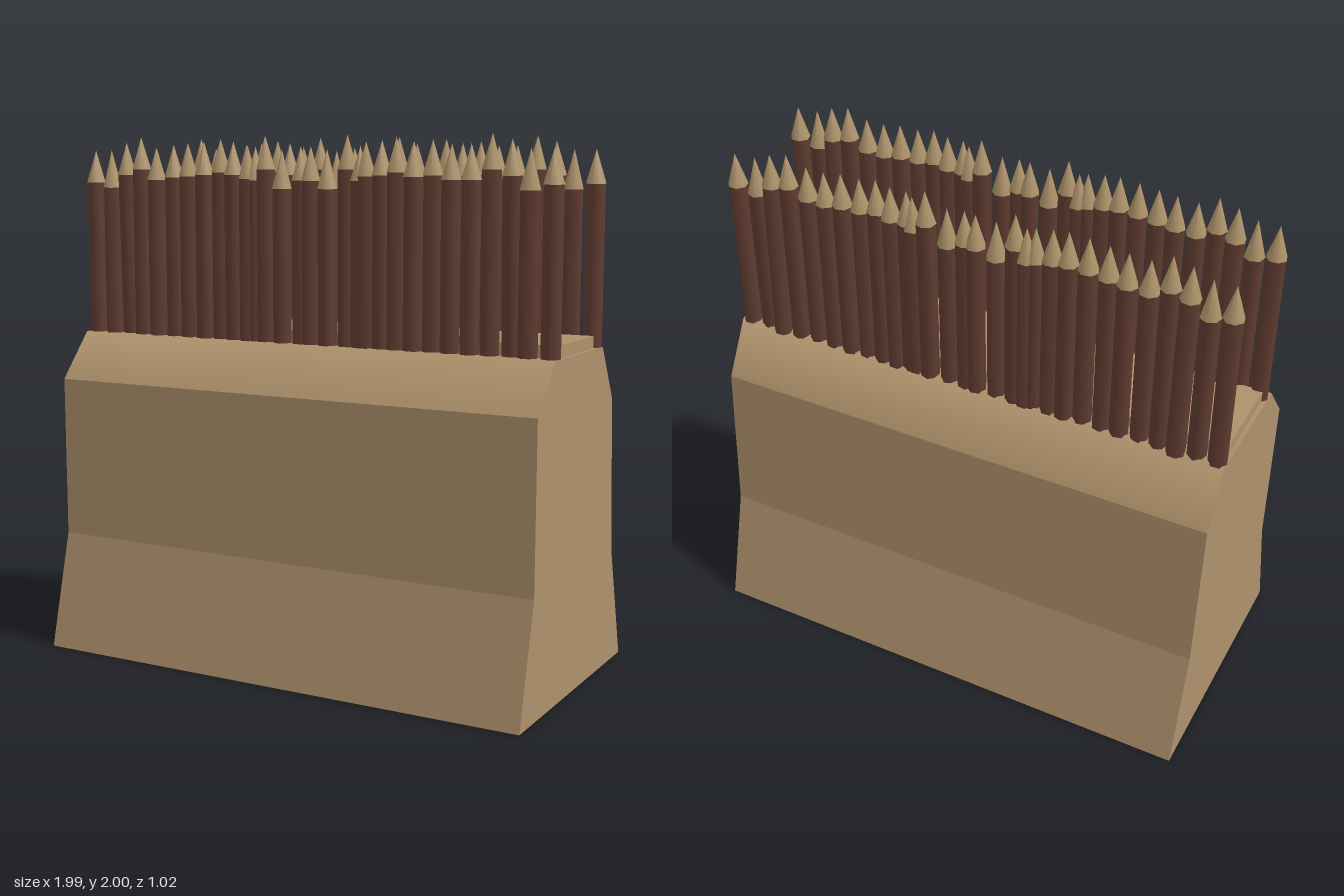
import * as THREE from 'three';

const earth = new THREE.MeshStandardMaterial({ color: 0xae916b, side: THREE.DoubleSide });
earth.name = 'earth';
const bark = new THREE.MeshStandardMaterial({ color: 0x603c31 });
bark.name = 'bark';
const cutWood = new THREE.MeshStandardMaterial({ color: 0xae936a });
cutWood.name = 'cut wood';

const HALF = 0.995;

// Rampart cross-section as [z, y], from the front foot over the crest to the back foot
const profile = [
  [0.51, 0], [0.4, 0.44], [0.4, 1.06], [0.25, 1.235],
  [-0.23, 1.235], [-0.35, 1.03], [-0.39, 0.44], [-0.51, 0],
];

function addMesh(parent, name, geometry, material) {
  const mesh = new THREE.Mesh(geometry, material);
  mesh.name = name;
  parent.add(mesh);
  return mesh;
}

// Sweeps part of the cross-section along x; normals are shared inside one strip
function strip(points) {
  const positions = [], index = [];
  points.forEach(([z, y], i) => {
    positions.push(-HALF, y, z, HALF, y, z);
    if (i) {
      const a = 2 * (i - 1);
      index.push(a, a + 1, a + 3, a, a + 3, a + 2);
    }
  });
  const geometry = new THREE.BufferGeometry();
  geometry.setAttribute('position', new THREE.Float32BufferAttribute(positions, 3));
  geometry.setIndex(index);
  geometry.computeVertexNormals();
  return geometry;
}

function createRampart() {
  const rampart = new THREE.Group();
  rampart.name = 'rampart';
  // Flat walls, and the softly rounded crest between them
  for (const [name, i] of [['frontFoot', 0], ['frontWall', 1], ['backWall', 5], ['backFoot', 6]]) {
    addMesh(rampart, name, strip(profile.slice(i, i + 2)), earth);
  }
  addMesh(rampart, 'crest', strip(profile.slice(2, 6)), earth);
  // End walls; the underside stays open
  for (const side of [1, -1]) {
    const shape = new THREE.Shape(profile.map(([z, y]) => new THREE.Vector2(-side * z, y)));
    const geometry = new THREE.ShapeGeometry(shape);
    geometry.rotateY(side * Math.PI / 2);
    geometry.translate(side * HALF, 0, 0);
    addMesh(rampart, side > 0 ? 'leftEnd' : 'rightEnd', geometry, earth);
  }
  // Raised walkway between the palisades
  addMesh(rampart, 'walkway', new THREE.BoxGeometry(1.96, 0.05, 0.36), earth).position.set(0, 1.255, 0.01);
  return rampart;
}

// Stakes as [x, tip height]
const stakes = [
  [-0.96, 1.95], [-0.88, 1.95], [-0.81, 1.98], [-0.74, 2], [-0.665, 1.96], [-0.59, 1.97],
  [-0.52, 1.975], [-0.445, 1.98], [-0.375, 1.99], [-0.315, 1.98], [-0.25, 1.965], [-0.22, 1.96],
  [-0.175, 2], [-0.1, 1.95], [-0.025, 1.96], [0.02, 1.96], [0.09, 1.95], [0.17, 2],
  [0.225, 1.96], [0.25, 1.975], [0.31, 1.98], [0.37, 1.99], [0.44, 1.975], [0.51, 1.98],
  [0.585, 1.965], [0.66, 1.965], [0.735, 2], [0.81, 1.98], [0.88, 1.95], [0.96, 1.95],
];

function createStake(height, i) {
  const stake = new THREE.Group();
  stake.name = 'stake';
  const tip = i === 1 || i === 13 || i === 16 || i === 28 ? 0.145 : 0.125;
  const shaft = height - tip;
  const trunk = addMesh(stake, 'trunk', new THREE.CylinderGeometry(0.036, 0.036, shaft, 7), bark);
  trunk.position.y = shaft / 2;
  const point = addMesh(stake, 'sharpenedTip', new THREE.ConeGeometry(0.038, tip, 7), cutWood);
  point.position.y = shaft + tip / 2;
  trunk.rotation.y = point.rotation.y = i * 1.3;
  return stake;
}

function createPalisade(name, z) {
  const row = new THREE.Group();
  row.name = name;
  stakes.forEach(([x, tipY], i) => {
    const stake = createStake(tipY - 1.23, i);
    const leaning = Math.abs(x) === 0.81;
    stake.position.set(x, 1.23, z + (leaning ? -0.018 : 0.005 * Math.sin(i * 2.1)));
    // A few stakes lean slightly
    if (leaning) stake.rotation.x = 0.024;
    row.add(stake);
  });
  return row;
}

export function createModel() {
  const model = new THREE.Group();
  model.name = 'palisadeRampart';
  model.add(createRampart());
  model.add(createPalisade('frontPalisade', 0.21));
  model.add(createPalisade('backPalisade', -0.205));
  return model;
}
